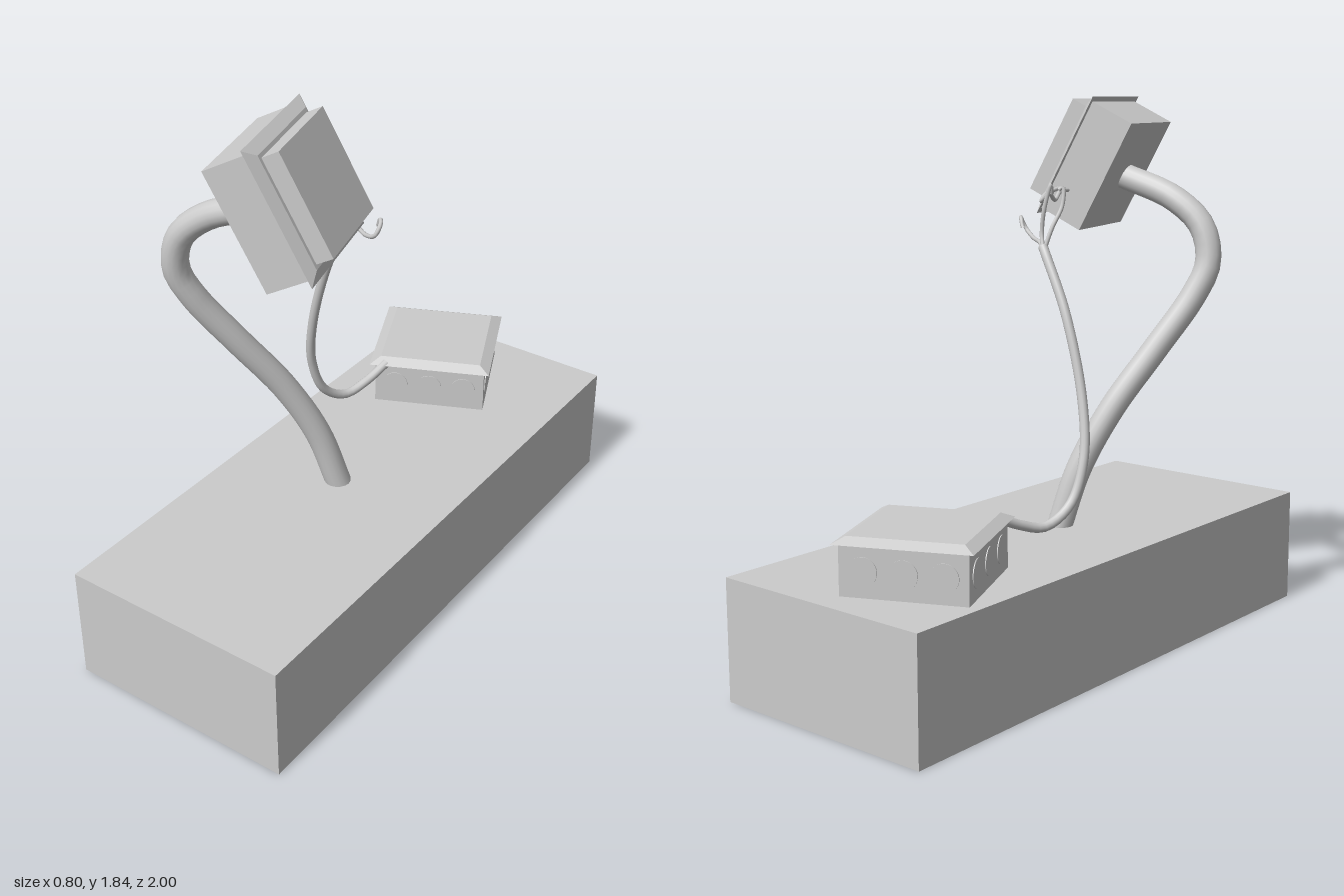
import * as THREE from 'three';

const material = new THREE.MeshStandardMaterial({ color: 0xcccccc, side: THREE.DoubleSide });
const flat = new THREE.MeshStandardMaterial({ color: 0xcccccc, flatShading: true });

function add(parent, name, geometry, mat = flat) {
  const mesh = new THREE.Mesh(geometry, mat);
  mesh.name = name;
  parent.add(mesh);
  return mesh;
}

// Smooth tube through a few points
function tube(parent, name, points, radius, segments, sides) {
  const curve = new THREE.CatmullRomCurve3(points.map((p) => new THREE.Vector3(...p)));
  return add(parent, name, new THREE.TubeGeometry(curve, segments, radius, sides), material);
}

// Square electrical box with a bevelled, overhanging cover; cover faces local +y
function coveredBox(name, depth) {
  const group = new THREE.Group();
  group.name = name;
  add(group, 'boxBody', new THREE.BoxGeometry(0.4, depth, 0.4)).position.y = depth / 2;
  const cover = new THREE.CylinderGeometry(0.365 * Math.SQRT1_2, 0.438 * Math.SQRT1_2, 0.02, 4);
  cover.rotateY(Math.PI / 4);
  add(group, 'bevelledCover', cover).position.y = depth + 0.01;
  return group;
}

export function createModel() {
  const model = new THREE.Group();
  model.name = 'lampOnPlinth';

  // Plinth
  add(model, 'plinth', new THREE.BoxGeometry(0.8, 0.4, 2)).position.y = 0.2;

  // Junction box standing on the plinth
  const junction = coveredBox('junctionBox', 0.16);
  junction.position.set(-0.1, 0.4, -0.645);
  junction.rotation.y = 0.427;
  model.add(junction);

  // Three round knockouts on each side of the junction box
  for (let side = 0; side < 4; side++) {
    const face = new THREE.Group();
    face.name = 'knockoutRow';
    face.rotation.y = side * Math.PI / 2;
    junction.add(face);
    for (const x of [-0.125, 0, 0.125]) {
      const disc = add(face, 'knockout', new THREE.CylinderGeometry(0.045, 0.045, 0.006, 24), material);
      disc.rotation.x = Math.PI / 2;
      disc.position.set(x, 0.08, 0.2);
    }
  }

  // Tilted head with a raised front panel
  const head = coveredBox('head', 0.155);
  head.position.set(-0.0375, 1.575, 0.445);
  head.rotation.set(0, 0.272, -1.093, 'YZX');
  add(head, 'frontPanel', new THREE.BoxGeometry(0.34, 0.06, 0.34)).position.y = 0.203;
  model.add(head);

  // Curved neck from the plinth to the back of the head
  tube(model, 'neck', [
    [-0.015, 0.39, 0.108], [-0.065, 0.6, 0.155], [-0.14, 0.8, 0.235], [-0.235, 1.0, 0.35],
    [-0.32, 1.18, 0.45], [-0.35, 1.29, 0.49], [-0.32, 1.41, 0.495], [-0.22, 1.5, 0.475],
    [-0.02, 1.575, 0.445],
  ], 0.044, 40, 16);

  // Cable from the junction box up to the loose wires
  tube(model, 'cable', [
    [-0.165, 0.56, -0.4], [-0.19, 0.52, -0.31], [-0.22, 0.5, -0.22], [-0.25, 0.56, -0.13],
    [-0.26, 0.7, -0.075], [-0.225, 0.89, -0.04], [-0.14, 1.155, -0.02], [-0.045, 1.33, 0.0],
    [-0.025, 1.36, 0.007],
  ], 0.016, 48, 12);

  // Loose wires fanning out of the cable, and stubs from the head
  const wires = [
    [[-0.03, 1.34, 0.003], [0.03, 1.365, 0.06], [0.1, 1.375, 0.11], [0.15, 1.4, 0.135],
      [0.16, 1.435, 0.12], [0.145, 1.44, 0.1], [0.13, 1.41, 0.09]],
    [[-0.03, 1.34, 0.003], [-0.045, 1.42, 0.03], [-0.055, 1.49, 0.07], [-0.05, 1.55, 0.08], [-0.04, 1.54, 0.07]],
    [[-0.03, 1.34, 0.003], [-0.01, 1.4, 0.02], [-0.02, 1.48, 0.02], [-0.04, 1.56, 0.03], [-0.035, 1.53, 0.04]],
    [[0.04, 1.53, 0.24], [0.03, 1.53, 0.17], [0.0, 1.505, 0.1], [-0.02, 1.53, 0.05], [-0.03, 1.53, 0.03]],
    [[0.07, 1.54, 0.23], [0.07, 1.52, 0.14], [0.04, 1.5, 0.08], [-0.01, 1.54, 0.07]],
  ];
  for (const points of wires) tube(model, 'wire', points, 0.007, 24, 8);

  return model;
}
